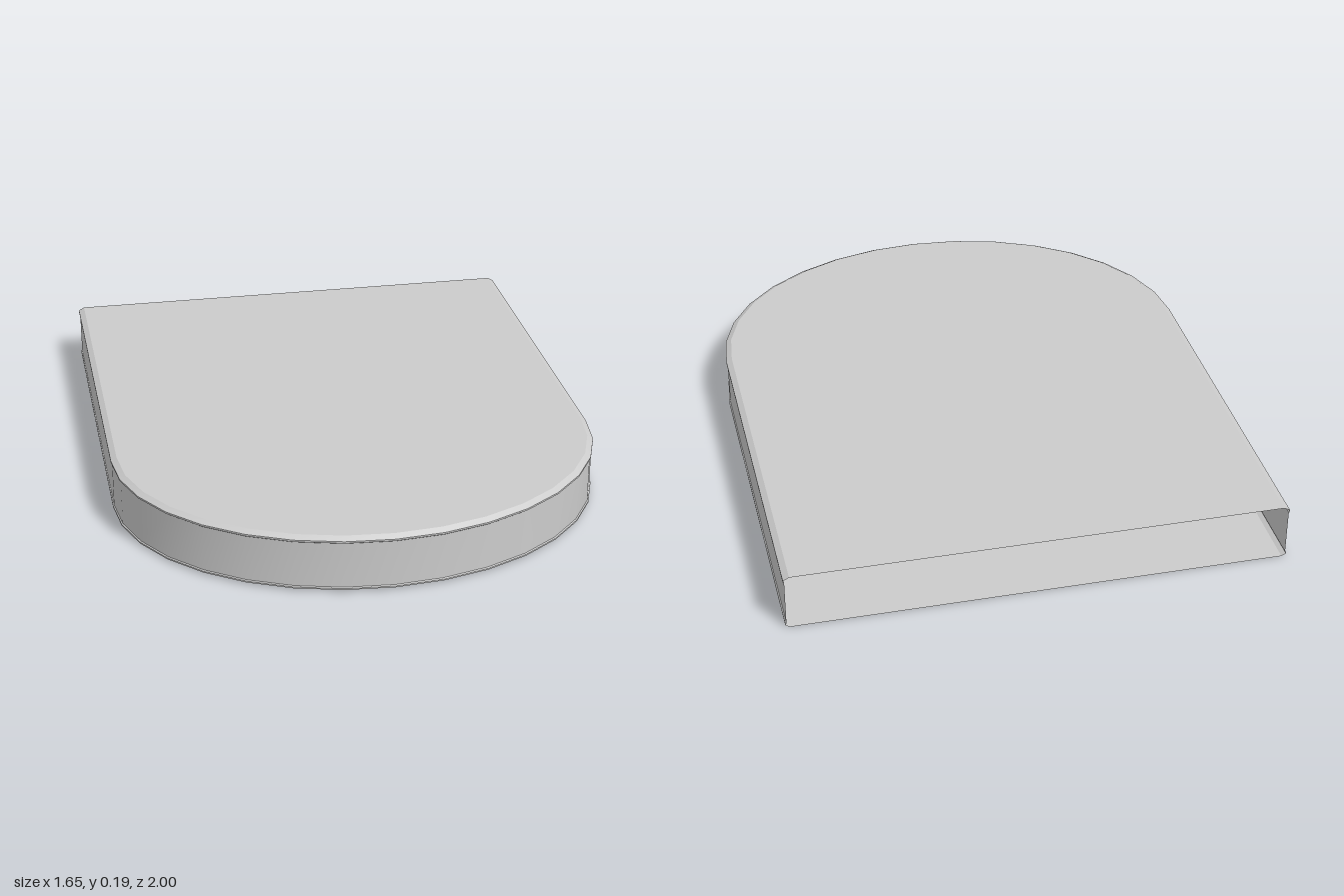
import * as THREE from 'three';

const BACK = -1, ARC_Z = 0.3, HALF_W = 0.825, DEPTH = 0.7, SEGMENTS = 16;

// U-shaped outline seen from above, from the back left corner round the front to the back right
function outline(inset) {
  const a = HALF_W - inset, b = DEPTH - inset;
  const points = [new THREE.Vector2(a, BACK)];
  for (let i = 0; i <= SEGMENTS; i++) {
    const t = (i / SEGMENTS) * Math.PI;
    points.push(new THREE.Vector2(a * Math.cos(t), ARC_Z + b * Math.sin(t)));
  }
  points.push(new THREE.Vector2(-a, BACK));
  return points;
}

// Strip of wall between two heights, smooth along its length
function band([lowInset, lowY], [highInset, highY]) {
  const low = outline(lowInset), high = outline(highInset);
  const positions = [], index = [];
  low.forEach((p, i) => {
    positions.push(p.x, lowY, p.y, high[i].x, highY, high[i].y);
    if (i < low.length - 1) {
      const k = i * 2;
      index.push(k, k + 1, k + 2, k + 1, k + 3, k + 2);
    }
  });
  const geometry = new THREE.BufferGeometry();
  geometry.setAttribute('position', new THREE.Float32BufferAttribute(positions, 3));
  geometry.setIndex(index);
  geometry.computeVertexNormals();
  return geometry;
}

// Flat plate facing up (side = 1) or down (side = -1)
function plate(inset, y, side) {
  const points = outline(inset).map((p) => new THREE.Vector2(p.x, -side * p.y));
  return new THREE.ShapeGeometry(new THREE.Shape(points))
    .rotateX(-side * Math.PI / 2)
    .translate(0, y, 0);
}

export function createModel() {
  const group = new THREE.Group();
  group.name = 'openBackShell';
  const material = new THREE.MeshStandardMaterial({ color: 0xcccccc, side: THREE.DoubleSide });
  const add = (name, geometry) => {
    const mesh = new THREE.Mesh(geometry, material);
    mesh.name = name;
    group.add(mesh);
  };

  // Wall profile from bottom to top: [inset, height]
  const profile = [[0.015, 0], [0, 0.008], [0, 0.013], [0.004, 0.016], [0.004, 0.173], [0, 0.176], [0, 0.182], [0.02, 0.193]];
  const names = ['bottomBevel', 'bottomLip', 'bottomLipStep', 'sideWall', 'topLipStep', 'topLip', 'topBevel'];
  names.forEach((name, i) => add(name, band(profile[i], profile[i + 1])));

  // Top and bottom plates; the back stays open
  add('topPlate', plate(0.02, 0.193, 1));
  add('bottomPlate', plate(0.015, 0, -1));
  return group;
}
